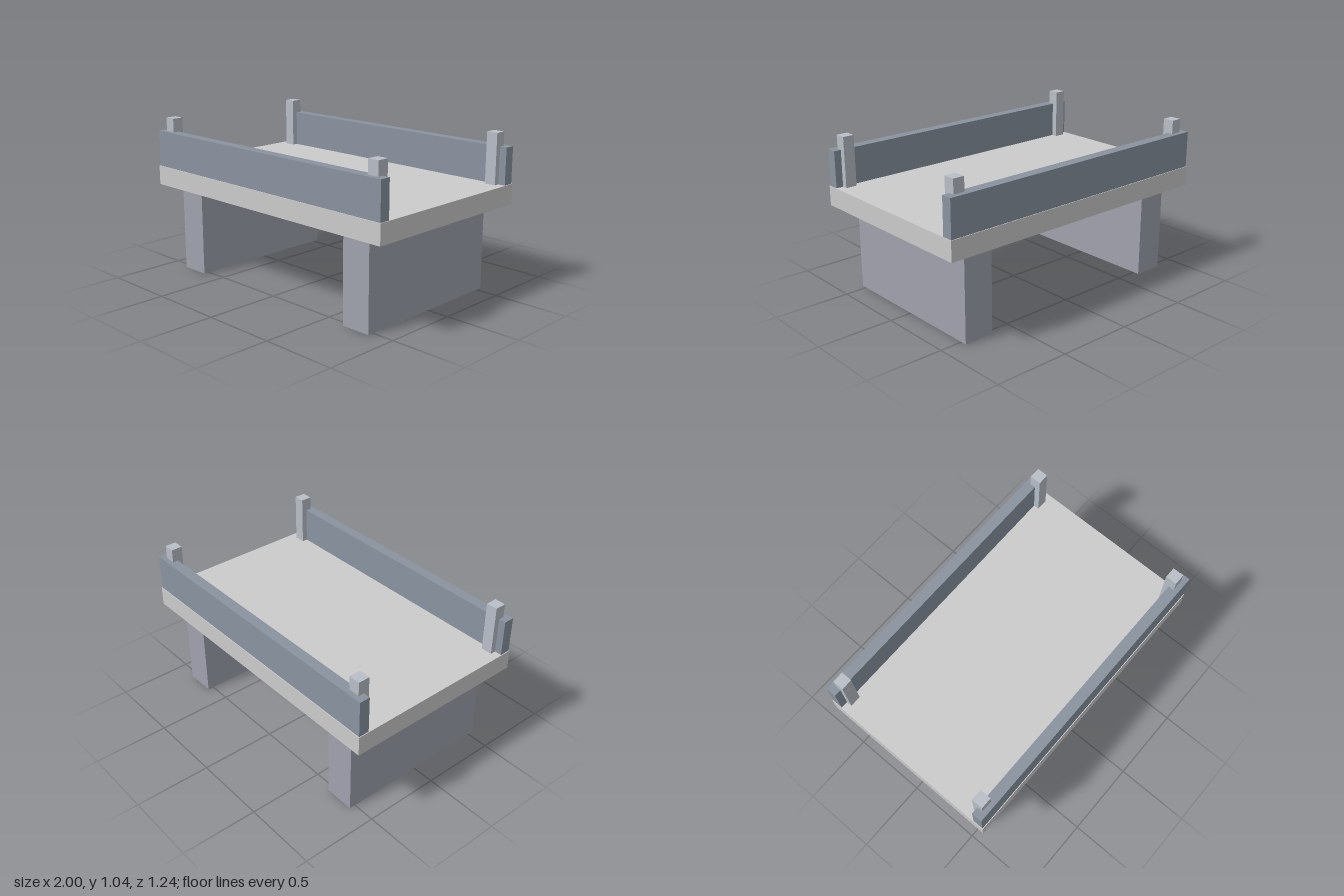
import * as THREE from 'three';

const material = (color) => new THREE.MeshStandardMaterial({ color });

export function createModel() {
  const model = new THREE.Group();
  model.name = 'footbridge';

  const deckMaterial = material(0xcccccc);
  const pierMaterial = material(0xa0a2ae);
  const wallMaterial = material(0x8a93a0);
  const postMaterial = material(0xb9bfc8);

  // Box given by its centre in plan and its bottom and top heights
  function addBlock(name, mat, width, depth, bottom, top, x, z) {
    const mesh = new THREE.Mesh(new THREE.BoxGeometry(width, top - bottom, depth), mat);
    mesh.name = name;
    mesh.position.set(x, (bottom + top) / 2, z);
    model.add(mesh);
  }

  // Deck slab
  addBlock('deck', deckMaterial, 2, 1.24, 0.58, 0.71, 0, 0);

  for (const side of [-1, 1]) {
    const sideName = side > 0 ? 'left' : 'right';
    const endName = side > 0 ? 'front' : 'back';

    // Supporting pier under each end of the deck
    addBlock(sideName + 'Pier', pierMaterial, 0.2, 1.08, 0, 0.58, side * 0.75, 0);

    // Parapet wall along each long edge
    addBlock(endName + 'Parapet', wallMaterial, 1.99, 0.07, 0.71, 0.95, 0, side * 0.58);

    // Posts set into the inner face of the parapet
    for (const x of [-0.91, 0.91]) {
      const corner = endName + (x > 0 ? 'Left' : 'Right') + 'Post';
      addBlock(corner, postMaterial, 0.075, 0.075, 0.71, 1.04, x, side * 0.545);
    }
  }

  return model;
}
